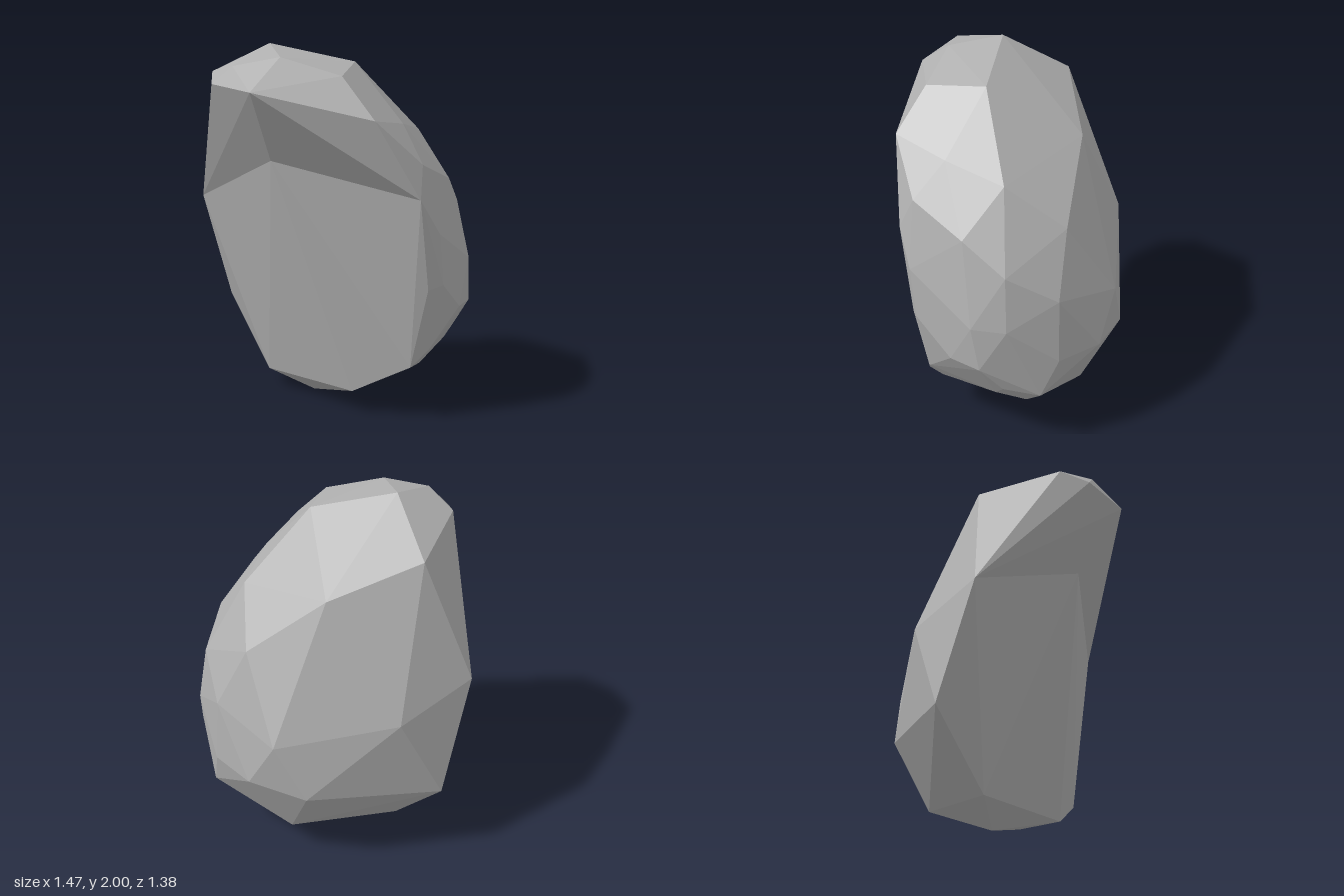
import * as THREE from 'three';
import { ConvexGeometry } from 'three/addons/geometries/ConvexGeometry.js';

export function createModel() {
  const group = new THREE.Group();
  group.name = 'boulder';
  const stone = new THREE.MeshStandardMaterial({ color: 0xb0b0b0, flatShading: true });
  stone.name = 'grey stone';

  // A faceted chunk of stone spanning its corner points
  const chunk = (name, ...bands) => {
    const points = bands.flat().map((p) => new THREE.Vector3(...p));
    const mesh = new THREE.Mesh(new ConvexGeometry(points), stone);
    mesh.name = name;
    group.add(mesh);
  };

  // Crown: the peak and the lip leaning out over the front
  const crown = [
    [-0.18, 2.0, 0.28], [0.05, 1.95, 0.46], [0.33, 1.86, 0.31], [0.54, 1.65, 0.31],
    [0.05, 1.79, 0.69], [-0.25, 1.81, 0.65], [-0.14, 1.905, 0.61], [-0.36, 1.86, 0.53],
    [0.22, 1.55, 0.46],
  ];
  // Crease where the lip folds back into the front face
  const crease = [[-0.74, 1.11, 0.24], [-0.03, 1.41, 0.45], [0.69, 1.24, 0.12]];
  // Shoulders, shared by both chunks
  const shoulders = [
    [-0.5, 1.78, 0.1], [0.18, 1.905, 0.01], [-0.2, 1.62, -0.31], [0.36, 1.53, -0.32],
    [0.48, 1.6, -0.01], [0.65, 1.41, 0.05],
  ];
  // Back and belly, from upper to lower
  const back = [
    [0.14, 1.3, -0.55], [0.6, 1.29, -0.27], [0.51, 1.13, -0.49], [0.28, 0.96, -0.645],
    [-0.13, 0.86, -0.655], [-0.62, 0.99, -0.21], [0.54, 0.83, -0.53], [0.66, 0.84, -0.39],
    [0.02, 0.59, -0.695], [-0.28, 0.54, -0.57], [0.29, 0.6, -0.665],
  ];
  const side = [
    [0.73, 1.05, 0.0], [0.73, 0.77, -0.04], [0.69, 0.75, 0.04], [0.69, 0.6, -0.26],
    [0.64, 0.59, -0.43], [0.65, 0.4, -0.03], [0.52, 0.43, -0.48], [-0.74, 0.48, 0.02],
  ];
  const base = [
    [0.59, 0.31, 0.05], [0.58, 0.31, -0.05], [0.5, 0.35, -0.4], [0.37, 0.38, -0.61],
    [0.33, 0.24, -0.46], [-0.08, 0.19, -0.47], [0.28, 0.13, -0.12], [0.27, 0.13, 0.14],
    [-0.39, 0.1, 0.08], [-0.14, 0, -0.03],
  ];

  chunk('overhang', crown, crease, shoulders);
  chunk('body', crease, shoulders, back, side, base);
  return group;
}
